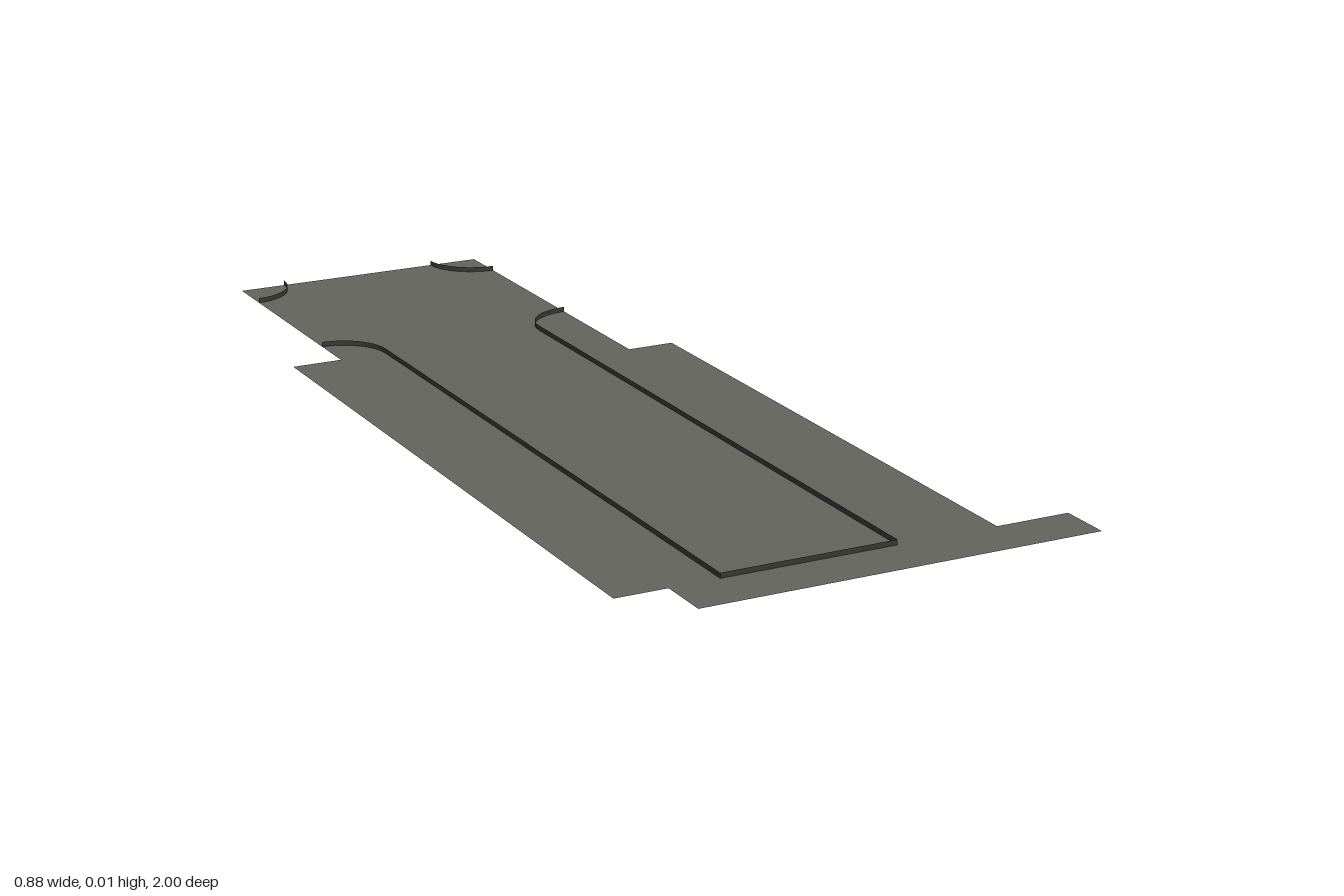
import * as THREE from 'three';

const KERB_HEIGHT = 0.01;

// flat horizontal sheet from an outline of [x, z] corners
function sheet(name, corners, material) {
  const shape = new THREE.Shape(corners.map(([x, z]) => new THREE.Vector2(x, -z)));
  const geometry = new THREE.ShapeGeometry(shape).rotateX(-Math.PI / 2);
  const mesh = new THREE.Mesh(geometry, material);
  mesh.name = name;
  return mesh;
}

// thin upright ribbon following a path of [x, z] points
function ribbon(name, path, material) {
  const positions = [];
  for (let i = 0; i + 1 < path.length; i++) {
    const [ax, az] = path[i];
    const [bx, bz] = path[i + 1];
    positions.push(ax, 0, az, bx, 0, bz, bx, KERB_HEIGHT, bz);
    positions.push(ax, 0, az, bx, KERB_HEIGHT, bz, ax, KERB_HEIGHT, az);
  }
  const geometry = new THREE.BufferGeometry();
  geometry.setAttribute('position', new THREE.Float32BufferAttribute(positions, 3));
  geometry.computeVertexNormals();
  const mesh = new THREE.Mesh(geometry, material);
  mesh.name = name;
  return mesh;
}

// quarter circle in the ground plane, between two angles
function arc(cx, cz, rx, rz, from, to, steps = 10) {
  return Array.from({ length: steps + 1 }, (_, i) => {
    const a = from + ((to - from) * i) / steps;
    return [cx + rx * Math.cos(a), cz + rz * Math.sin(a)];
  });
}

export function createModel() {
  const group = new THREE.Group();
  group.name = 'streetTile';

  const paving = new THREE.MeshStandardMaterial({ color: 0x64645e, side: THREE.DoubleSide });
  paving.name = 'paving grey';
  const kerb = new THREE.MeshStandardMaterial({ color: 0x363633, side: THREE.DoubleSide });
  kerb.name = 'kerb dark grey';

  // stepped ground outline
  group.add(sheet('ground', [
    [-0.34, 1], [0.435, 1], [0.435, 0.9], [0.29, 0.9], [0.29, -0.27], [0.195, -0.27],
    [0.195, -1], [-0.34, -1], [-0.34, -0.465], [-0.44, -0.465], [-0.44, 0.9], [-0.34, 0.9],
  ], paving));

  // long kerb around the dead end, flaring out at the junction
  const q = Math.PI / 2;
  group.add(ribbon('mainKerb', [
    ...arc(-0.34, -0.465, 0.095, 0.095, -q, 0),
    [-0.245, 0.9], [0.092, 0.9],
    ...arc(0.195, -0.465, 0.103, 0.095, -2 * q, -q),
  ], kerb));

  // rounded kerbs at the two far corners
  group.add(ribbon('rightCornerKerb', arc(-0.34, -1, 0.095, 0.098, 0, q), kerb));
  group.add(ribbon('leftCornerKerb', arc(0.195, -1, 0.103, 0.098, q, 2 * q), kerb));

  return group;
}
